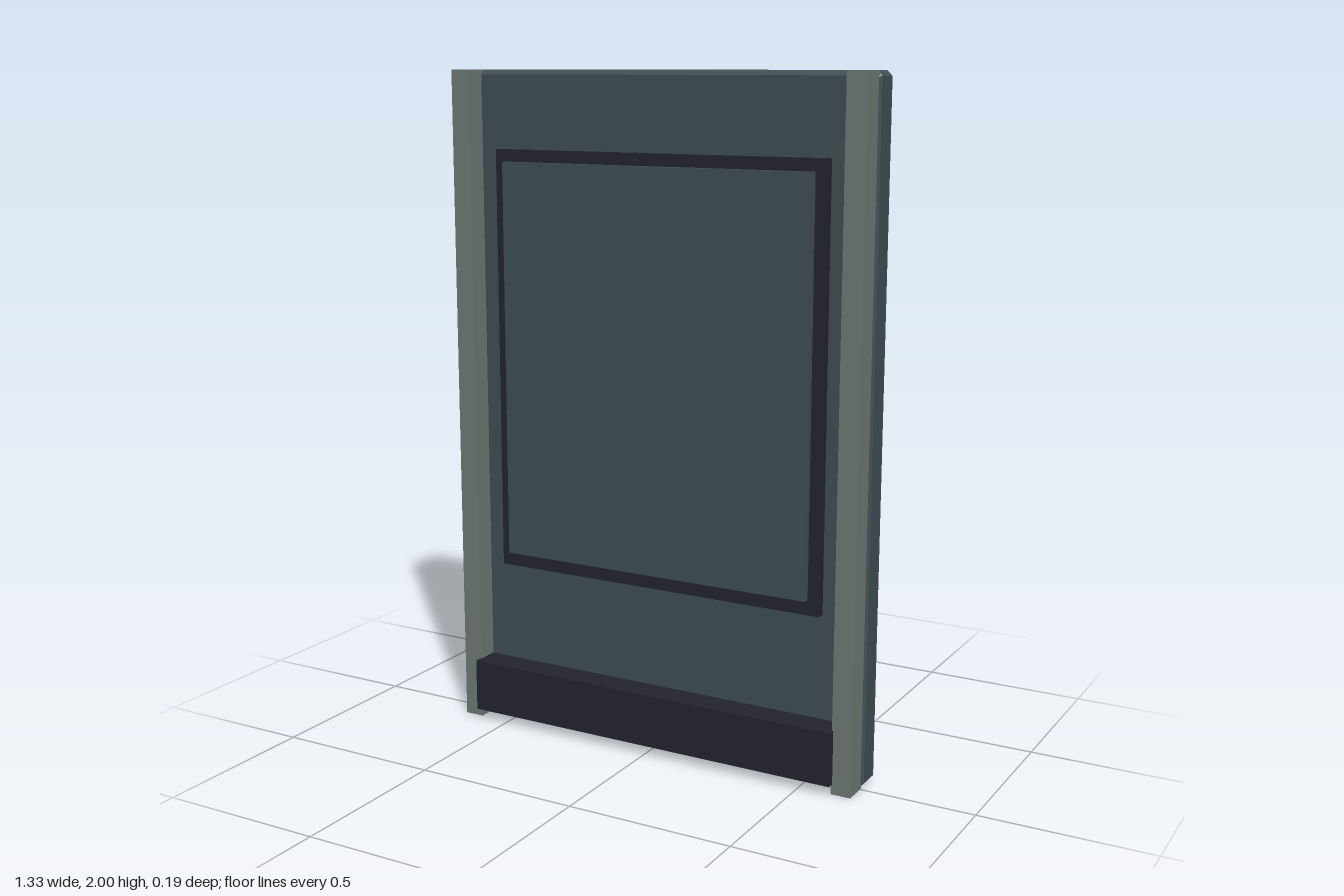
import * as THREE from 'three';

const mat = (name, color) => {
  const m = new THREE.MeshStandardMaterial({ color });
  m.name = name;
  return m;
};

export function createModel() {
  const slate = mat('slate', 0x3f4f54);
  const stone = mat('grey stone', 0x6f7a73);
  const dark = mat('dark trim', 0x24242f);
  const model = new THREE.Group();
  model.name = 'wallPanel';

  // Box given by its min and max corners
  const box = (name, material, [x0, y0, z0], [x1, y1, z1]) => {
    const mesh = new THREE.Mesh(new THREE.BoxGeometry(x1 - x0, y1 - y0, z1 - z0), material);
    mesh.position.set((x0 + x1) / 2, (y0 + y1) / 2, (z0 + z1) / 2);
    mesh.name = name;
    model.add(mesh);
  };

  // Main slab with chamfered edges and corners
  const c = 0.014, w = 0.665 - c, h = 1 - c, back = -0.093, front = 0.004;
  const outline = new THREE.Shape([
    [w - c / 2, -h], [w, -h + c / 2], [w, h - c / 2], [w - c / 2, h],
    [-w + c / 2, h], [-w, h - c / 2], [-w, -h + c / 2], [-w + c / 2, -h],
  ].map(([x, y]) => new THREE.Vector2(x, y)));
  const slabGeometry = new THREE.ExtrudeGeometry(outline, {
    depth: front - back - 2 * c, bevelEnabled: true,
    bevelSize: c, bevelThickness: c, bevelSegments: 1,
  });
  slabGeometry.translate(0, 1, back + c);
  const slab = new THREE.Mesh(slabGeometry, slate);
  slab.name = 'slab';
  model.add(slab);

  // Side posts
  box('leftPost', stone, [0.598, 0, -0.008], [0.658, 2, 0.07]);
  box('rightPost', stone, [-0.658, 0, -0.008], [-0.598, 2, 0.07]);

  // Dark backing frame with a raised inset panel
  box('panelFrame', dark, [-0.533, 0.5, -0.01], [0.533, 1.77, 0.03]);
  box('insetPanel', slate, [-0.498, 0.545, 0.02], [0.498, 1.735, 0.05]);

  // Kick plate across the foot
  box('kickPlate', dark, [-0.602, 0.03, -0.01], [0.602, 0.19, 0.092]);

  return model;
}
